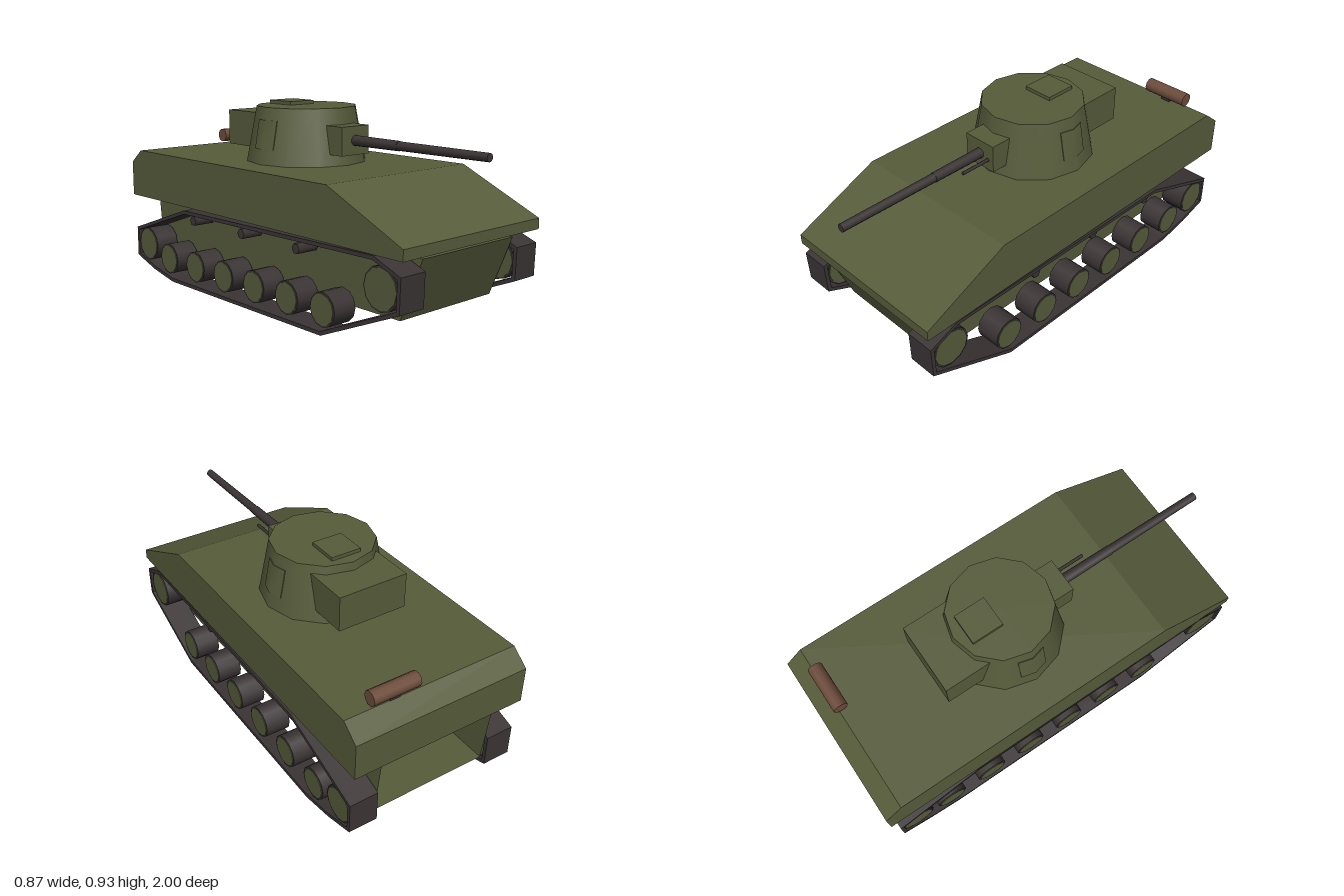
import * as THREE from 'three';

const mat = (name, color, side = THREE.FrontSide) => {
  const m = new THREE.MeshStandardMaterial({ color, side });
  m.name = name;
  return m;
};

// Extrude a (z, y) outline across x, centred on x = 0.
function sideExtrude(points, width, hole) {
  const shape = new THREE.Shape(points.map(([z, y]) => new THREE.Vector2(z, y)));
  if (hole) shape.holes.push(new THREE.Path(hole.map(([z, y]) => new THREE.Vector2(z, y))));
  const g = new THREE.ExtrudeGeometry(shape, { depth: width, bevelEnabled: false });
  return g.translate(0, 0, -width / 2).rotateY(-Math.PI / 2);
}

// Inset a counter-clockwise outline by an even distance.
function inset(points, d) {
  const n = points.length;
  const normal = (a, b) => {
    const dx = b[0] - a[0], dy = b[1] - a[1], l = Math.hypot(dx, dy);
    return [-dy / l, dx / l];
  };
  return points.map((p, i) => {
    const a = normal(points[(i + n - 1) % n], p);
    const b = normal(p, points[(i + 1) % n]);
    const k = d / (1 + a[0] * b[0] + a[1] * b[1]);
    return [p[0] + (a[0] + b[0]) * k, p[1] + (a[1] + b[1]) * k];
  });
}

export function createModel() {
  const green = mat('olive green', 0x575c3b, THREE.DoubleSide);
  const dark = mat('dark metal', 0x3b3435);
  const brown = mat('brown canvas', 0x6d4c3b);

  const model = new THREE.Group();
  model.name = 'armouredVehicle';
  const add = (name, geometry, material, x = 0, y = 0, z = 0, parent = model) => {
    const mesh = new THREE.Mesh(geometry, material);
    mesh.name = name;
    mesh.position.set(x, y, z);
    parent.add(mesh);
    return mesh;
  };
  const box = (w, h, d) => new THREE.BoxGeometry(w, h, d);
  const axleCylinder = (r, length, sides) =>
    new THREE.CylinderGeometry(r, r, length, sides).rotateZ(Math.PI / 2);

  // Upper hull with sloped front plate
  add('upperHull', sideExtrude([
    [0.945, 0.408], [0.945, 0.457], [0.515, 0.65], [-0.915, 0.65], [-1, 0.583], [-1, 0.408],
  ], 0.872), green);

  // Lower hull: tapered tub, open at the rear
  const tub = box(0.58, 0.28, 2);
  const pos = tub.attributes.position;
  for (let i = 0; i < pos.count; i++) {
    const top = pos.getY(i) > 0, front = pos.getZ(i) > 0;
    pos.setZ(i, front ? (top ? 0.915 : 0.8) : (top ? -0.98 : -0.95));
  }
  tub.setIndex(Array.from(tub.index.array).slice(0, 30));
  tub.clearGroups();
  tub.computeVertexNormals();
  add('lowerHull', tub, green, 0, 0.25, 0);

  // Running gear on both sides
  const belt = [
    [0.935, 0.345], [0.785, 0.405], [-0.53, 0.388], [-0.975, 0.235],
    [-0.975, 0.083], [-0.82, 0.034], [-0.65, 0], [0.48, 0], [0.93, 0.193],
  ];
  const trackGeometry = sideExtrude(belt, 0.14, inset(belt, 0.018));
  const wheels = [[0.82, 0.275, 0.096], [-0.88, 0.158, 0.087]];
  for (let i = 0; i < 6; i++) wheels.push([0.48 - i * 0.2335, 0.112, 0.078]);

  for (const side of [-1, 1]) {
    const gear = new THREE.Group();
    gear.name = side > 0 ? 'leftRunningGear' : 'rightRunningGear';
    model.add(gear);
    add('track', trackGeometry, dark, side * 0.366, 0, 0, gear);
    for (const [z, y, r] of wheels) {
      add('wheelTyre', axleCylinder(r, 0.12, 12), dark, side * 0.366, y, z, gear);
      add('wheelDisc', axleCylinder(r - 0.008, 0.126, 12), green, side * 0.366, y, z, gear);
    }
    for (const z of [0.287, -0.103, -0.492]) {
      add('returnRoller', axleCylinder(0.025, 0.11, 6), dark, side * 0.352, 0.337, z, gear);
    }
  }

  // Turret
  const turret = new THREE.Group();
  turret.name = 'turret';
  turret.position.set(0, 0, -0.102);
  model.add(turret);
  add('turretBody', new THREE.CylinderGeometry(0.242, 0.292, 0.263, 12), green, 0, 0.7815, 0, turret);
  add('roofHatch', box(0.15, 0.03, 0.155), green, 0, 0.915, -0.11, turret);
  add('turretBustle', box(0.345, 0.17, 0.3), green, 0, 0.79, -0.242, turret);
  add('gunMantlet', box(0.17, 0.133, 0.14), green, 0, 0.77, 0.268, turret);

  // Side hatches: thin plates folded and leaned to follow the turret wall
  for (const side of [-1, 1]) {
    const plate = new THREE.BoxGeometry(0.008, 0.135, 0.132, 1, 1, 2);
    const p = plate.attributes.position;
    for (let i = 0; i < p.count; i++) {
      const fold = Math.abs(p.getZ(i)) * Math.tan(Math.PI / 12);
      p.setX(i, p.getX(i) - side * (fold + p.getY(i) * 0.19));
    }
    plate.computeVertexNormals();
    add('sideHatch', plate, green, side * 0.2655, 0.787, 0, turret);
  }

  // Guns
  const barrel = (r1, r2, length, sides) =>
    new THREE.CylinderGeometry(r1, r2, length, sides).rotateX(Math.PI / 2);
  add('gunBarrelBase', barrel(0.023, 0.025, 0.31, 10), dark, 0, 0.77, 0.355);
  add('gunBarrel', barrel(0.019, 0.021, 0.5, 10), dark, 0, 0.77, 0.75);
  add('machineGun', barrel(0.008, 0.008, 0.19, 6), dark, 0.053, 0.757, 0.295);

  // Canvas roll on the rear deck
  add('canvasRoll', axleCylinder(0.035, 0.23, 10), brown, 0.193, 0.692, -0.902);
  add('rollBracket', box(0.05, 0.03, 0.03), dark, 0.193, 0.655, -0.902);

  return model;
}
